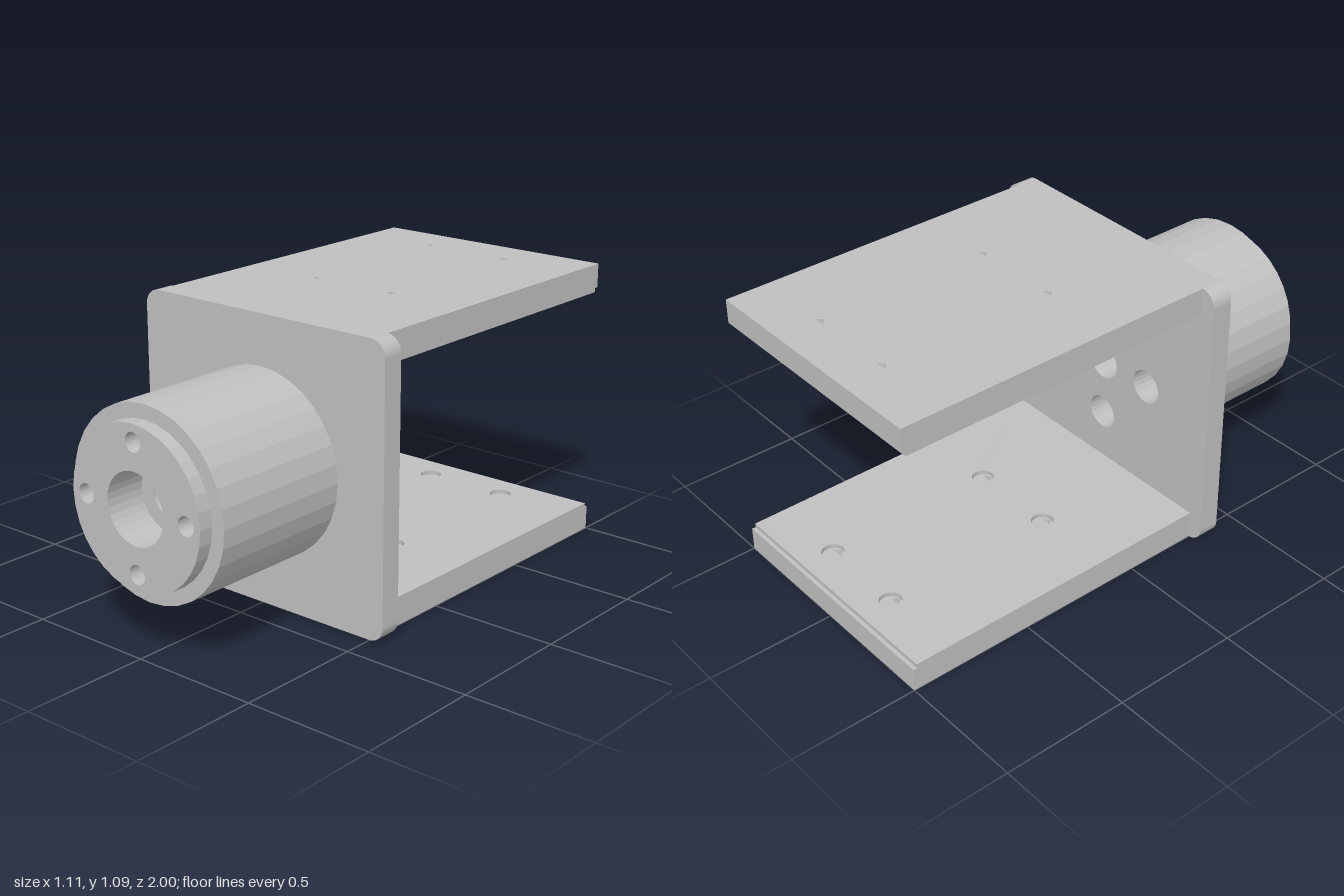
import * as THREE from 'three';

const HEIGHT = 1.09;
const MID = HEIGHT / 2;
const BOLT_CIRCLE = 0.235;

// Points of a regular polygon standing in for a circle
function ring(cx, cy, r, n) {
  return Array.from({ length: n }, (_, i) => {
    const a = (i / n) * Math.PI * 2;
    return new THREE.Vector2(cx + r * Math.cos(a), cy + r * Math.sin(a));
  });
}

// Centre hole plus four bolt holes
function addHoles(shape, centreR, boltR) {
  shape.holes.push(new THREE.Path(ring(0, MID, centreR, 32)));
  for (let i = 0; i < 4; i++) {
    const a = (i * Math.PI) / 2;
    const x = BOLT_CIRCLE * Math.cos(a), y = MID + BOLT_CIRCLE * Math.sin(a);
    shape.holes.push(new THREE.Path(ring(x, y, boltR, 24)));
  }
  return shape;
}

function extrude(shape, depth) {
  return new THREE.ExtrudeGeometry(shape, { depth, bevelEnabled: false, curveSegments: 6 });
}

export function createModel() {
  const model = new THREE.Group();
  const grey = new THREE.MeshStandardMaterial({ color: 0xbfbfbf, flatShading: true });
  grey.name = 'plain grey';

  function add(parent, name, geometry) {
    const mesh = new THREE.Mesh(geometry, grey);
    mesh.name = name;
    parent.add(mesh);
  }

  // Upright plate with rounded corners
  const w = 0.557, r = 0.06;
  const plate = new THREE.Shape();
  plate.absarc(w - r, r, r, -Math.PI / 2, 0);
  plate.absarc(w - r, HEIGHT - r, r, 0, Math.PI / 2);
  plate.absarc(-w + r, HEIGHT - r, r, Math.PI / 2, Math.PI);
  plate.absarc(-w + r, r, r, Math.PI, Math.PI * 1.5);
  add(model, 'mountingPlate', extrude(addHoles(plate, 0.075, 0.067), 0.085).translate(0, 0, 0.295));

  // Barrel: wide bolt tunnels behind, wide centre bore in front
  const sections = [
    ['barrelRear', 0.354, 0.38, 0.84, 0.075, 0.067],
    ['barrelFront', 0.354, 0.84, 0.945, 0.133, 0.036],
    ['barrelNeck', 0.30, 0.945, 1.0, 0.133, 0.036],
  ];
  for (const [name, radius, z0, z1, centreR, boltR] of sections) {
    const shape = addHoles(new THREE.Shape(ring(0, MID, radius, 32)), centreR, boltR);
    add(model, name, extrude(shape, z1 - z0).translate(0, 0, z0));
  }

  // Flat arm layer with its own holes, lying between y0 and y1
  function armLayer(zBack, y0, y1, hole) {
    const front = -0.295, back = -zBack, hw = 0.5;
    const shape = new THREE.Shape([
      new THREE.Vector2(-hw, front), new THREE.Vector2(hw, front),
      new THREE.Vector2(hw, back), new THREE.Vector2(-hw, back),
    ]);
    for (const x of [-0.177, 0.177])
      for (const z of [-0.83, -0.13]) shape.holes.push(new THREE.Path(hole(x, -z)));
    return extrude(shape, y1 - y0).rotateX(-Math.PI / 2).translate(0, y0, 0);
  }
  // Small notch outside, round recess inside
  const notch = (x, y) => [
    new THREE.Vector2(x - 0.024, y + 0.008),
    new THREE.Vector2(x, y - 0.014),
    new THREE.Vector2(x + 0.024, y + 0.008),
  ];
  const recess = (x, y) => ring(x, y + 0.028, 0.043, 24);

  // Two arms, the upper one turned over
  for (const side of ['lower', 'upper']) {
    const arm = new THREE.Group();
    arm.name = side + 'Arm';
    add(arm, 'armSlab', armLayer(-1, 0, 0.093, notch));
    add(arm, 'armInnerLayer', armLayer(-0.985, 0.093, 0.11, recess));
    if (side === 'upper') {
      arm.rotation.z = Math.PI;
      arm.position.y = HEIGHT;
    }
    model.add(arm);
  }
  return model;
}
